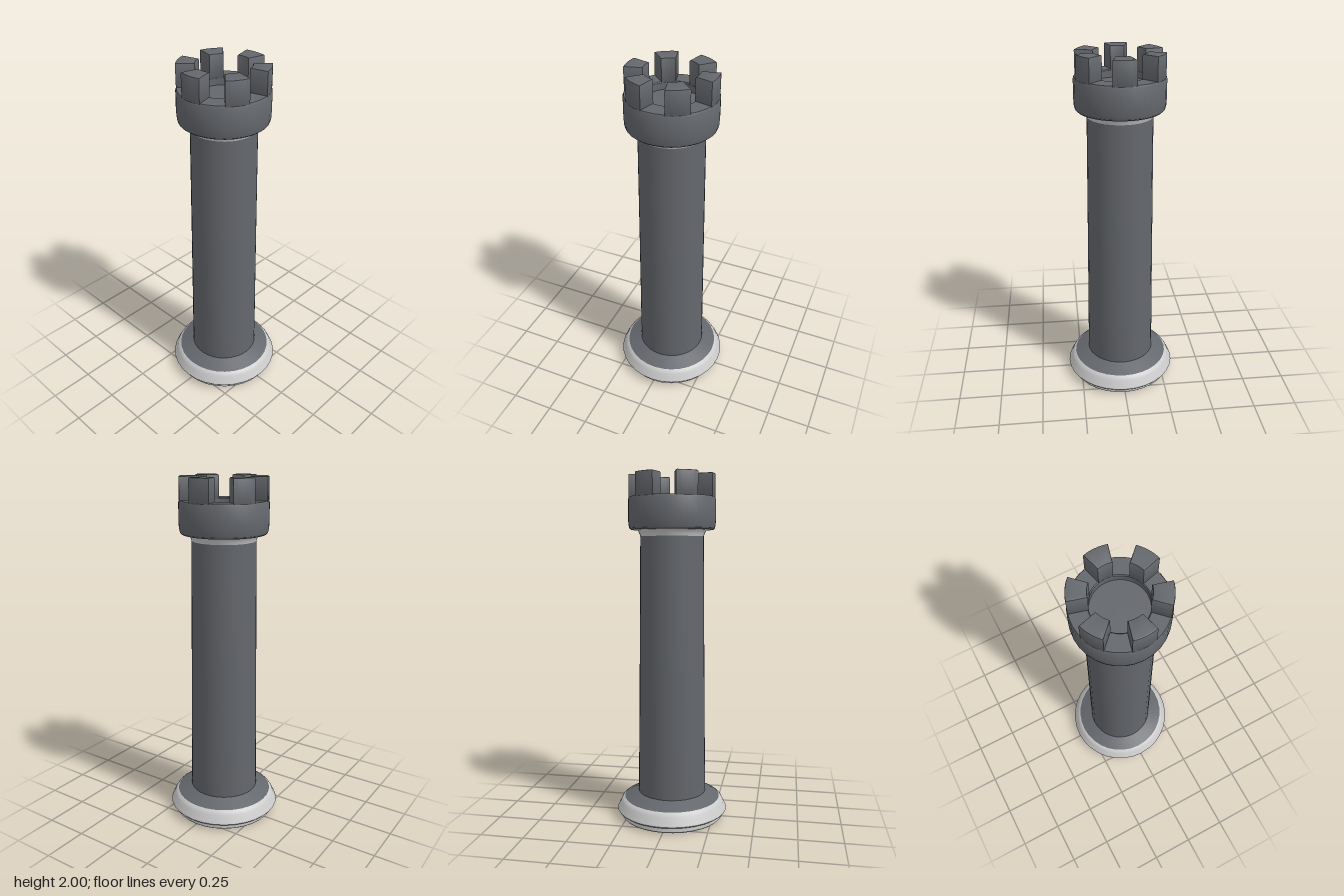
import * as THREE from 'three';
import { toCreasedNormals } from 'three/addons/utils/BufferGeometryUtils.js';

const SIDES = 32;
const dark = new THREE.MeshStandardMaterial({ color: 0x64676c });
const light = new THREE.MeshStandardMaterial({ color: 0xcccccc });

// Turned part from a profile of [radius, height] points, bottom to top
function turned(name, profile, material) {
  const points = profile.map(([r, y]) => new THREE.Vector2(r, y));
  const mesh = new THREE.Mesh(toCreasedNormals(new THREE.LatheGeometry(points, SIDES), 0.55), material);
  mesh.name = name;
  return mesh;
}

// Wedge-shaped battlement block with softened edges, centred on +z
function merlonGeometry(inner, outer, halfAngle, bottom, top) {
  const bevel = 0.006;
  const r0 = inner + bevel, r1 = outer - bevel;
  const a0 = halfAngle - bevel / r0, a1 = halfAngle - bevel / r1;
  const mid = -Math.PI / 2; // shape -y becomes +z after the rotation
  const shape = new THREE.Shape();
  shape.absarc(0, 0, r1, mid - a1, mid + a1, false);
  shape.absarc(0, 0, r0, mid + a0, mid - a0, true);
  shape.closePath();
  const geometry = new THREE.ExtrudeGeometry(shape, {
    depth: top - bottom - 2 * bevel, bevelEnabled: true,
    bevelSize: bevel, bevelThickness: bevel, bevelSegments: 2, curveSegments: 5,
  });
  geometry.rotateX(-Math.PI / 2);
  geometry.translate(0, bottom + bevel, 0);
  return toCreasedNormals(geometry, 0.6);
}

export function createModel() {
  const tower = new THREE.Group();
  tower.name = 'tower';

  // Foot: dark underside, pale moulded rim, dark sloping shoulder
  tower.add(turned('baseUnderside', [[0, 0], [0.296, 0]], dark));
  tower.add(turned('baseRim', [
    [0.296, 0], [0.302, 0.006], [0.302, 0.03], [0.31, 0.036], [0.322, 0.039],
    [0.327, 0.046], [0.322, 0.058], [0.312, 0.075], [0.304, 0.095], [0.295, 0.108], [0.283, 0.117],
  ], light));
  tower.add(turned('baseShoulder', [[0.283, 0.117], [0.2, 0.153]], dark));

  // Tapering shaft
  tower.add(turned('shaft', [[0.2, 0.15], [0.19, 0.9], [0.181, 1.66]], dark));

  // Pale flared collar under the head
  tower.add(turned('collar', [
    [0.181, 1.655], [0.185, 1.668], [0.193, 1.686], [0.2, 1.692], [0.234, 1.692],
  ], light));

  // Head with its sunken floor
  tower.add(turned('head', [
    [0.234, 1.692], [0.243, 1.7], [0.248, 1.72], [0.25, 1.76], [0.249, 1.862], [0.243, 1.873],
    [0.151, 1.873], [0.146, 1.868], [0.146, 1.83], [0, 1.83],
  ], dark));

  // Ring of six battlement blocks
  const geometry = merlonGeometry(0.146, 0.245, Math.PI / 12, 1.86, 2);
  const battlements = new THREE.Group();
  battlements.name = 'battlements';
  for (let i = 0; i < 6; i++) {
    const merlon = new THREE.Mesh(geometry, dark);
    merlon.name = 'merlon';
    merlon.rotation.y = (i * Math.PI) / 3;
    battlements.add(merlon);
  }
  tower.add(battlements);
  return tower;
}
